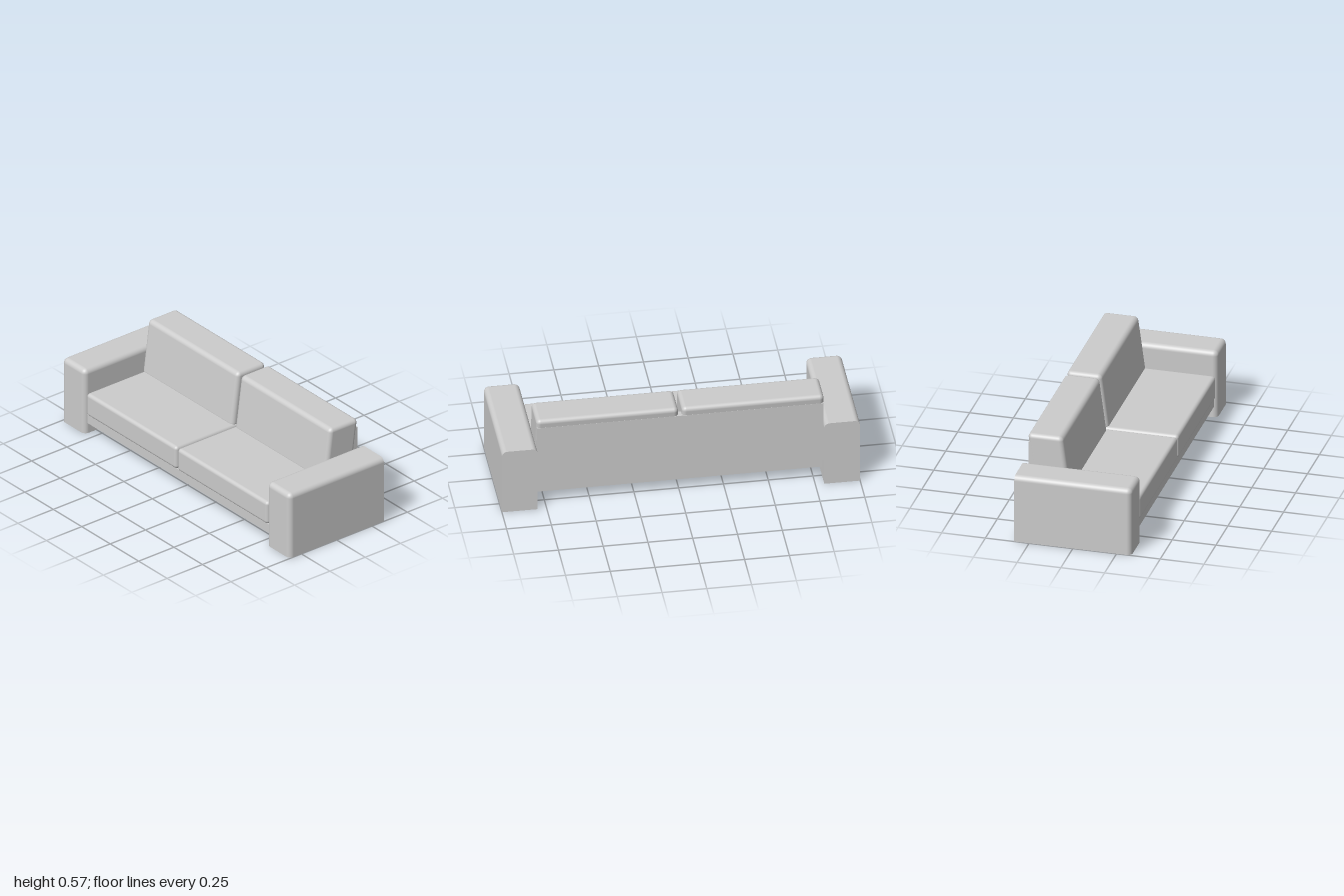
import * as THREE from 'three';
import { RoundedBoxGeometry } from 'three/addons/geometries/RoundedBoxGeometry.js';

const material = new THREE.MeshStandardMaterial({ color: 0xcccccc });

// Geometry spanning the given [min, max] ranges, rounded when r > 0
function block([x0, x1], [y0, y1], [z0, z1], r = 0) {
  const size = [x1 - x0, y1 - y0, z1 - z0];
  const geo = r ? new RoundedBoxGeometry(...size, 4, r) : new THREE.BoxGeometry(...size);
  return geo.translate((x0 + x1) / 2, (y0 + y1) / 2, (z0 + z1) / 2);
}

// Flattens everything below a limit on one axis, leaving a square-edged cap
function flattenBelow(geo, axis, limit) {
  const pos = geo.attributes.position, nor = geo.attributes.normal;
  for (let i = 0; i < pos.count; i += 3) {
    const tri = [i, i + 1, i + 2];
    const middle = tri.reduce((sum, v) => sum + pos.getComponent(v, axis), 0) / 3;
    const capped = tri.every(v => pos.getComponent(v, axis) < limit + 1e-5) && middle < limit - 1e-5;
    for (const v of tri) {
      pos.setComponent(v, axis, Math.max(limit, pos.getComponent(v, axis)));
      if (capped) for (let k = 0; k < 3; k++) nor.setComponent(v, k, k === axis ? -1 : 0);
    }
  }
  return geo;
}

export function createModel() {
  const sofa = new THREE.Group();
  sofa.name = 'sofa';
  const add = (name, geo) => {
    const mesh = new THREE.Mesh(geo, material);
    mesh.name = name;
    sofa.add(mesh);
  };
  const lean = 0.133;

  for (const [side, s] of [['left', 1], ['right', -1]]) {
    const span = (a, b) => (s > 0 ? [a, b] : [-b, -a]);

    // Arm: rounded top and front, flat bottom and back
    const r = 0.03;
    const arm = block(span(0.8, 1), [-r, 0.4], [-0.335 - r, 0.335], r);
    flattenBelow(arm, 1, 0);
    flattenBelow(arm, 2, -0.335);
    add(side + 'Arm', arm);

    // Base section under the seat
    add(side + 'Base', block(span(0, 0.8), [0.065, 0.12], [-0.26, 0.315]));

    // Seat cushion
    add(side + 'SeatCushion', block(span(0.004, 0.796), [0.12, 0.26], [-0.267, 0.328], 0.02));

    // Back cushion: level top, leaning backwards
    const cushion = block(span(0.01, 0.803), [-0.165, 0.165], [-0.1, 0.1], 0.025);
    cushion.applyMatrix4(new THREE.Matrix4().set(
      1, 0, 0, 0,
      0, 1, 0, 0.405,
      0, -lean, 1, -0.193,
      0, 0, 0, 1));
    add(side + 'BackCushion', cushion);
  }

  // Upright panel behind the cushions
  add('backPanel', block([-0.8, 0.8], [0.14, 0.52], [-0.309, -0.265]));

  return sofa;
}
